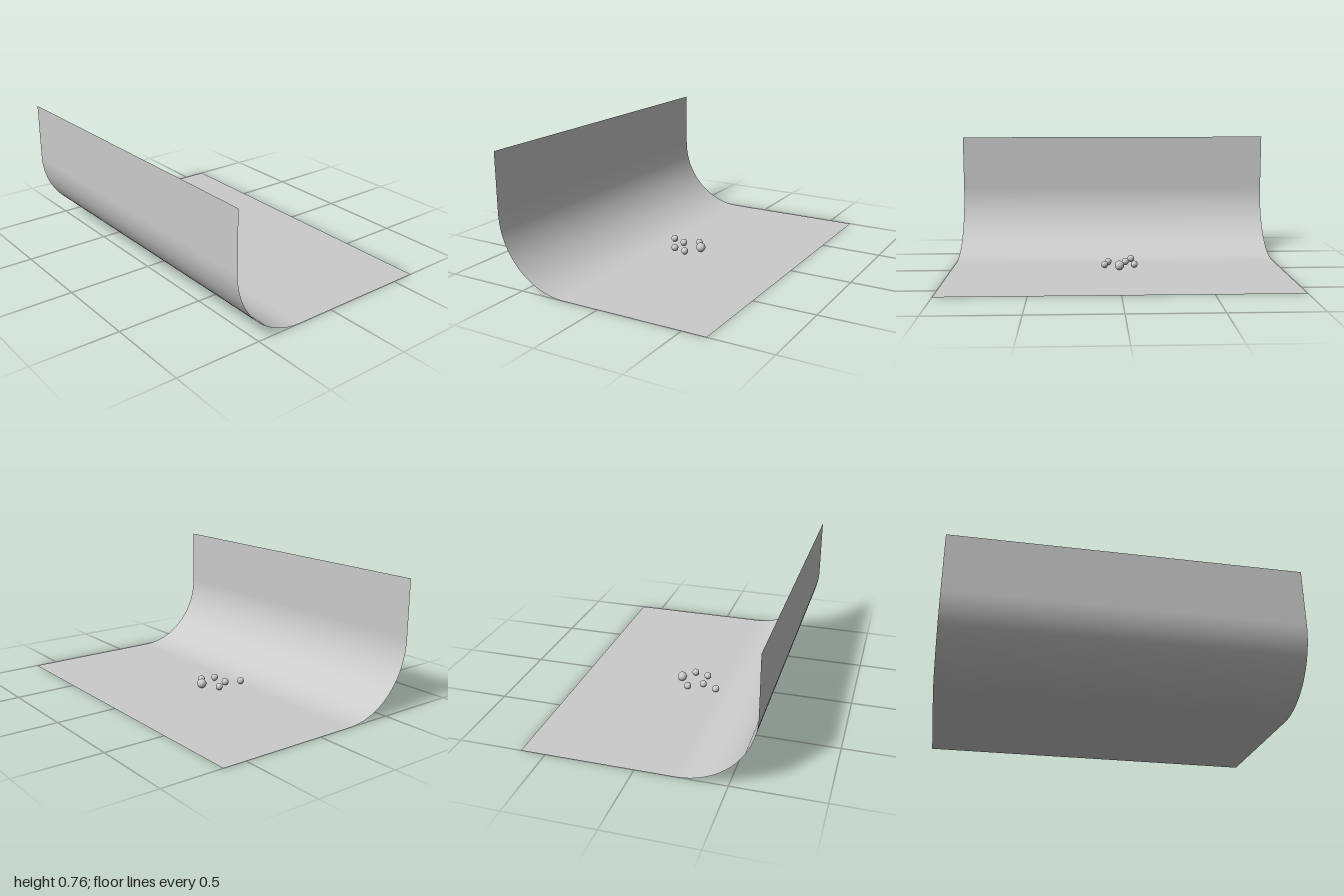
import * as THREE from 'three';

const HALF_WIDTH = 0.64, HALF_LENGTH = 1, HEIGHT = 0.76, BEND = 0.42;

// Thin sheet: flat floor, quarter-round bend and upright wall, swept along z
function backdropGeometry() {
  const profile = [[HALF_WIDTH, 0, 0]]; // x, y, angle of the normal from vertical
  const steps = 32;
  for (let i = 0; i <= steps; i++) {
    const a = (i / steps) * Math.PI / 2;
    profile.push([
      -HALF_WIDTH + BEND * (1 - Math.sin(a)),
      BEND * (1 - Math.cos(a)),
      a,
    ]);
  }
  profile.push([-HALF_WIDTH, HEIGHT, Math.PI / 2]);

  const positions = [], normals = [], indices = [];
  profile.forEach(([x, y, a], i) => {
    for (const z of [HALF_LENGTH, -HALF_LENGTH]) {
      positions.push(x, y, z);
      normals.push(Math.sin(a), Math.cos(a), 0);
    }
    if (i > 0) {
      const p = 2 * (i - 1);
      indices.push(p, p + 1, p + 2, p + 1, p + 3, p + 2);
    }
  });
  const geometry = new THREE.BufferGeometry();
  geometry.setAttribute('position', new THREE.Float32BufferAttribute(positions, 3));
  geometry.setAttribute('normal', new THREE.Float32BufferAttribute(normals, 3));
  geometry.setIndex(indices);
  return geometry;
}

export function createModel() {
  const model = new THREE.Group();
  model.name = 'backdropWithBalls';

  const sheet = new THREE.MeshStandardMaterial({ color: 0xcccccc, side: THREE.DoubleSide });
  const grey = new THREE.MeshStandardMaterial({ color: 0xcccccc });

  const backdrop = new THREE.Mesh(backdropGeometry(), sheet);
  backdrop.name = 'curvedBackdrop';
  model.add(backdrop);

  // Balls resting on the floor
  function addBall(name, radius, x, y, z) {
    const ball = new THREE.Mesh(new THREE.SphereGeometry(radius, 32, 20), grey);
    ball.name = name;
    ball.position.set(x, y, z);
    model.add(ball);
  }
  addBall('largeBall', 0.028, 0.036, 0.031, -0.014);
  const spots = [[-0.199, -0.096], [-0.11, -0.057], [-0.026, -0.107], [-0.11, 0.05], [-0.026, 0.074]];
  spots.forEach(([x, z], i) => addBall(`smallBall${i + 1}`, 0.021, x, 0.024, z));

  return model;
}
